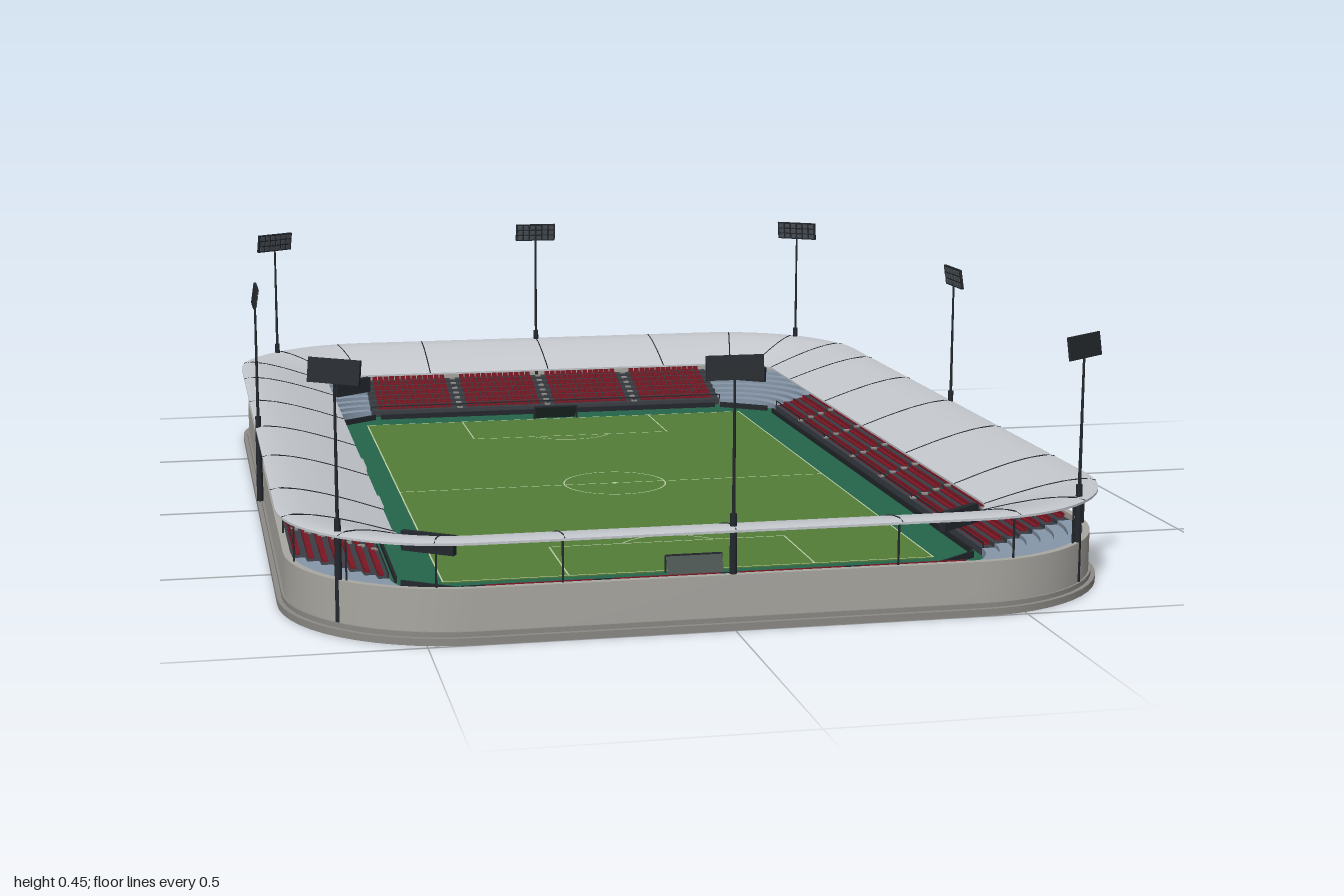
import * as THREE from 'three';
import { mergeGeometries, toCreasedNormals } from 'three/addons/utils/BufferGeometryUtils.js';

const mat = (color, side = THREE.FrontSide) => new THREE.MeshStandardMaterial({ color, side });
const M = {
  slab: mat(0x8c8a86), wall: mat(0xaaa8a2), roof: mat(0xc4c8cd), dark: mat(0x23282d),
  track: mat(0x25664a), grass: mat(0x537d36), line: mat(0xb9cba6), seat: mat(0x7d1724),
  corner: mat(0x8797aa), step: mat(0x3a3e44), pale: mat(0xb4bab8), lamp: mat(0x4a5158),
  net: mat(0x2a3a34, THREE.DoubleSide),
};

// Outer outline: rounded rectangle, corner centres at (CX, CZ), radius R
const CX = 0.42, CZ = 0.7, R = 0.3, N = 14;
const path = [];
for (let k = 0; k < 4; k++) {
  for (let i = 0; i <= N; i++) {
    const a = (k + i / N) * Math.PI / 2;
    path.push({ x: k === 0 || k === 3 ? CX : -CX, z: k < 2 ? CZ : -CZ, c: Math.cos(a), s: Math.sin(a) });
  }
}
const onPath = (p, inset, y) => new THREE.Vector3(p.x + p.c * (R - inset), y, p.z + p.s * (R - inset));

// Sweep a closed counter-clockwise [inset, y] profile along part of the outline
function sweep(profile, from = 0, count = path.length) {
  const pos = [], idx = [], n = profile.length;
  for (let i = 0; i <= count; i++) {
    const p = path[(from + i) % path.length];
    profile.forEach(([t, y]) => pos.push(...onPath(p, t, y).toArray()));
  }
  for (let i = 0; i < count; i++) {
    for (let j = 0; j < n; j++) {
      const a = i * n + j, b = i * n + (j + 1) % n;
      idx.push(a, b, a + n, b, b + n, a + n);
    }
  }
  const g = new THREE.BufferGeometry();
  g.setAttribute('position', new THREE.Float32BufferAttribute(pos, 3));
  g.setIndex(idx);
  return toCreasedNormals(g, 0.5);
}

// Solid rounded plate between two heights
function plate(inset, y0, y1) {
  const shape = new THREE.Shape(path.map(p => {
    const v = onPath(p, inset, 0);
    return new THREE.Vector2(v.x, -v.z);
  }));
  const g = new THREE.ExtrudeGeometry(shape, { depth: y1 - y0, bevelEnabled: false });
  return toCreasedNormals(g.rotateX(-Math.PI / 2).translate(0, y0, 0), 0.5);
}

const box = (w, h, d, x, y, z) => new THREE.BoxGeometry(w, h, d).translate(x, y, z);

export function createModel() {
  const model = new THREE.Group();
  const add = (name, geo, material, parent = model) => {
    const mesh = new THREE.Mesh(Array.isArray(geo) ? mergeGeometries(geo) : geo, material);
    mesh.name = name;
    parent.add(mesh);
    return mesh;
  };

  // Foundation, outer wall and field
  add('baseSlab', plate(0, 0, 0.012), M.slab);
  add('basePlinth', plate(0.008, 0.012, 0.02), M.slab);
  add('outerWall', sweep([[0.012, 0.02], [0.012, 0.09], [0.024, 0.09], [0.024, 0.02]]), M.wall);
  add('track', plate(0.18, 0.02, 0.022), M.track);
  add('grass', box(0.88, 0.003, 1.4, 0, 0.0225, 0), M.grass);

  // Pitch markings
  const Y = 0.0246, W = 0.003;
  const strip = (w, d, x, z) => new THREE.PlaneGeometry(w, d).rotateX(-Math.PI / 2).translate(x, Y, z);
  const arc = (r, z, start, length) =>
    new THREE.RingGeometry(r - W, r, 48, 1, start, length).rotateX(-Math.PI / 2).translate(0, Y, z);
  const marks = [strip(0.88, W, 0, 0), arc(0.105, 0, 0, Math.PI * 2), arc(0.006, 0, 0, Math.PI * 2)];
  for (const s of [-1, 1]) {
    marks.push(strip(0.88, W, 0, s * 0.699), strip(W, 1.4, s * 0.439, 0), strip(0.44, W, 0, s * 0.497));
    for (const x of [-0.22, 0.22]) marks.push(strip(W, 0.204, x, s * 0.598));
    marks.push(arc(0.105, s * 0.555, s > 0 ? 0.61 : Math.PI + 0.61, Math.PI - 1.22));
  }
  add('pitchLines', marks, M.line);

  // Goals and dugouts
  for (const s of [-1, 1]) {
    add('goalFrame', [box(0.1, 0.003, 0.003, 0, 0.052, s * 0.702), box(0.003, 0.03, 0.003, -0.05, 0.037, s * 0.702),
      box(0.003, 0.03, 0.003, 0.05, 0.037, s * 0.702)], M.dark);
    add('goalNet', new THREE.PlaneGeometry(0.1, 0.036).rotateX(s * -0.6).translate(0, 0.037, s * 0.713), M.net);
    add('dugout', [box(0.022, 0.004, 0.1, -0.503, 0.047, s * 0.175), box(0.004, 0.025, 0.1, -0.512, 0.034, s * 0.175)], M.pale);
  }

  // Terraces: stepped section, dark on the straights and pale in the corners
  const ROWS = 7, IN = 0.19, D = 0.0235;
  const rowY = r => 0.036 + r * 0.0073;
  const terrace = [[0.025, 0.02], [0.025, rowY(ROWS - 1)]];
  for (let r = ROWS - 1; r >= 0; r--) {
    if (r < ROWS - 1) terrace.push([IN - (r + 1) * D, rowY(r)]);
    terrace.push([IN - r * D, rowY(r)]);
  }
  terrace.push([IN, 0.02]);

  for (let k = 0; k < 4; k++) {
    add('cornerTerrace', sweep(terrace, k * (N + 1), N), M.corner);
    add('terrace', sweep(terrace, k * (N + 1) + N, 1), M.step);

    // Seats, aisles and rails, laid out with outward along +z then turned to their side
    const half = k % 2 ? CZ : CX, out = k % 2 ? 0.72 : 1;
    const side = new THREE.Group();
    side.name = ['frontStand', 'rightStand', 'backStand', 'leftStand'][k];
    side.rotation.y = -k * Math.PI / 2;
    model.add(side);
    const bays = k % 2 ? 7 : 4, bay = half * 2 / bays, seats = [], aisles = [], rails = [];
    for (let r = 0; r < ROWS; r++) {
      const y = rowY(r), z = out - IN + r * D;
      for (let b = 0; b < bays; b++) {
        const x0 = -half + b * bay, count = Math.floor((bay - 0.022) / 0.0135);
        for (let i = 0; i < count; i++) {
          const x = x0 + bay / 2 + (i - (count - 1) / 2) * 0.0135;
          seats.push(box(0.011, 0.003, 0.009, x, y + 0.003, z + 0.012));
          seats.push(box(0.011, 0.008, 0.003, x, y + 0.006, z + 0.017));
        }
        if (b > 0) aisles.push(box(0.012, 0.003, 0.012, x0, y + 0.0015, z + 0.006));
      }
    }
    rails.push(box(half * 2, 0.002, 0.002, 0, 0.046, out - IN + 0.002));
    for (let b = 0; b <= bays; b++) rails.push(box(0.002, 0.012, 0.002, -half + b * bay, 0.041, out - IN + 0.002));
    add('seats', seats, M.seat, side);
    add('aisleSteps', aisles, M.slab, side);
    add('frontRail', rails, M.dark, side);
    if (k % 2) add('topRail', box(half * 2, 0.0015, 0.0015, 0, 0.103, out - 0.03), M.dark, side);
    add('pitchBoard', box(half * 2 - 0.04, 0.012, 0.004, 0, 0.027, out - (k % 2 ? 0.203 : 0.222)), M.dark, side);
  }

  // Roof: curved shell dropping towards the pitch
  const top = [[0, 0.167], [0.012, 0.17], [0.05, 0.166], [0.09, 0.157], [0.14, 0.142], [0.195, 0.123]];
  const under = top.map(([t, y]) => [t, y - 0.004]).reverse();
  add('roof', sweep([...top, ...under]), M.roof);

  // Roof ribs and the posts that carry them
  const ribs = [], posts = [];
  const addRib = p => {
    const curve = new THREE.CatmullRomCurve3(top.map(([t, y]) => onPath(p, t, y)));
    ribs.push(new THREE.TubeGeometry(curve, 10, 0.0013, 4));
    const v = onPath(p, 0.02, 0.125);
    posts.push(box(0.003, 0.08, 0.003, v.x, v.y, v.z));
  };
  for (let k = 0; k < 4; k++) {
    for (const i of [2, 7, 12]) addRib(path[k * (N + 1) + i]);
    const a = path[k * (N + 1) + N], b = path[((k + 1) * (N + 1)) % path.length], n = k % 2 ? 5 : 3;
    for (let i = 0; i < n; i++) {
      const f = (i + 0.5) / n;
      addRib({ ...a, x: a.x + (b.x - a.x) * f, z: a.z + (b.z - a.z) * f });
    }
  }
  add('roofRibs', ribs, M.dark);
  add('roofPosts', posts, M.dark);

  // Corner screens and boards, facing the centre of the pitch
  for (const sx of [-1, 1]) {
    for (const sz of [-1, 1]) {
      const turn = Math.atan2(-sx * 0.58, -sz * 0.81);
      const screen = add('cornerScreen', new THREE.BoxGeometry(0.1, 0.034, 0.012), M.dark);
      screen.position.set(sx * 0.468, 0.107, sz * 0.747);
      screen.rotation.y = turn;
      const board = add('cornerBoard', new THREE.BoxGeometry(0.12, 0.012, 0.004), M.dark);
      board.position.set(sx * 0.462, 0.028, sz * 0.742);
      board.rotation.y = turn;
    }
  }

  // Floodlights: four on the sides, four on the corners
  const spots = [[0, 0.98], [0, -0.98], [0.715, 0], [-0.715, 0]];
  for (const sx of [-1, 1]) for (const sz of [-1, 1]) spots.push([sx * 0.63, sz * 0.89]);
  for (const [x, z] of spots) {
    const light = new THREE.Group();
    light.name = 'floodlight';
    light.position.set(x, 0, z);
    light.rotation.y = Math.atan2(-x, -z);
    model.add(light);
    add('mastBase', new THREE.CylinderGeometry(0.0055, 0.0065, 0.17, 10).translate(0, 0.105, 0), M.dark, light);
    add('mast', new THREE.CylinderGeometry(0.002, 0.003, 0.24, 8).translate(0, 0.305, 0), M.dark, light);
    const head = new THREE.Group();
    head.name = 'lampHead';
    head.position.set(0, 0.429, 0);
    head.rotation.x = 0.15;
    light.add(head);
    add('lampPanel', new THREE.BoxGeometry(0.095, 0.04, 0.005), M.dark, head);
    const lamps = [];
    for (let i = 0; i < 6; i++) {
      for (let j = 0; j < 3; j++) lamps.push(box(0.011, 0.009, 0.002, (i - 2.5) * 0.0152, (j - 1) * 0.0125, 0.0032));
    }
    add('lamps', lamps, M.lamp, head);
  }
  return model;
}
